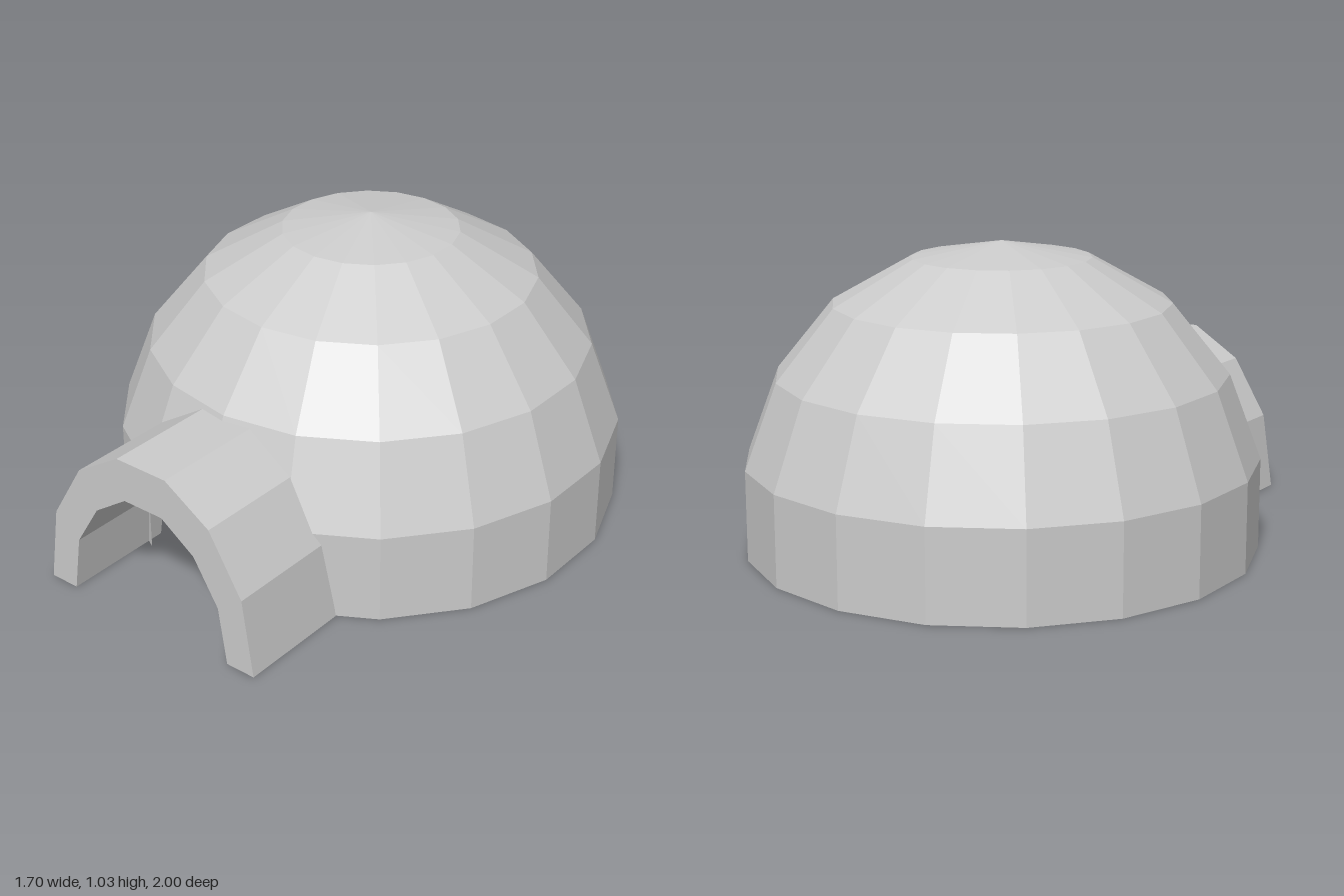
import * as THREE from 'three';

const SIDES = 18;
const STEP = (Math.PI * 2) / SIDES;
const CENTER_Z = -0.135;

export function createModel() {
  const model = new THREE.Group();
  model.name = 'igloo';
  const material = new THREE.MeshStandardMaterial({
    color: 0xcccccc, flatShading: true, side: THREE.DoubleSide,
  });
  const points = (list) => list.map(([x, y]) => new THREE.Vector2(x, y));
  const add = (name, geometry, parent) => {
    const mesh = new THREE.Mesh(geometry, material);
    mesh.name = name;
    parent.add(mesh);
    return mesh;
  };

  // Dome: a faceted shell, open underneath
  const dome = new THREE.Group();
  dome.name = 'dome';
  dome.position.z = CENTER_Z;
  model.add(dome);

  const base = [0.865, 0], shoulder = [0.865, 0.305], middle = [0.757, 0.592];
  add('domeTop', new THREE.LatheGeometry(
    points([middle, [0.565, 0.828], [0.3, 0.977], [0, 1.03]]), SIDES), dome);
  // The lower rows leave out the two front panels for the doorway
  add('domeWall', new THREE.LatheGeometry(
    points([base, shoulder, middle]), SIDES - 2, STEP, STEP * (SIDES - 2)), dome);

  // Dome panels around the doorway, laid onto the facet planes
  const edgeX = ([r]) => r * Math.sin(STEP);
  const radiusAt = (y) => y <= shoulder[1] ? shoulder[0]
    : THREE.MathUtils.mapLinear(y, shoulder[1], middle[1], shoulder[0], middle[0]);
  const lowerCorner = [[edgeX(base), 0.19], [edgeX(shoulder), shoulder[1]], [0.225, shoulder[1]]];
  const upperPanel = [
    [edgeX(shoulder), shoulder[1]], [edgeX(middle), middle[1]], [0, middle[1]],
    [0, 0.43], [0.203, 0.345], [0.225, shoulder[1]],
  ];
  for (const side of [1, -1]) {
    for (const outline of [lowerCorner, upperPanel]) {
      const geometry = new THREE.ShapeGeometry(
        new THREE.Shape(points(outline.map(([x, y]) => [x * side, y]))));
      const pos = geometry.attributes.position;
      for (let i = 0; i < pos.count; i++) {
        pos.setZ(i, radiusAt(pos.getY(i)) - Math.abs(pos.getX(i)) * Math.tan(STEP / 2));
      }
      geometry.computeVertexNormals();
      add(side > 0 ? 'doorwayPanelLeft' : 'doorwayPanelRight', geometry, dome);
    }
  }

  // Entrance tunnel: a thick arch pushed into the dome
  const outer = [[0.435, 0], [0.395, 0.265], [0.272, 0.468], [0.1, 0.575]];
  const inner = [[0.328, 0], [0.298, 0.195], [0.205, 0.345], [0.077, 0.432]];
  const mirrored = (half) => half.map(([x, y]) => [-x, y]).reverse();
  const arch = new THREE.Shape(points([
    ...outer, ...mirrored(outer), ...mirrored(inner).reverse(), ...[...inner].reverse(),
  ]));
  const tunnel = add('entranceTunnel',
    new THREE.ExtrudeGeometry(arch, { depth: 0.4, bevelEnabled: false }), model);
  tunnel.position.z = 0.6;

  return model;
}
